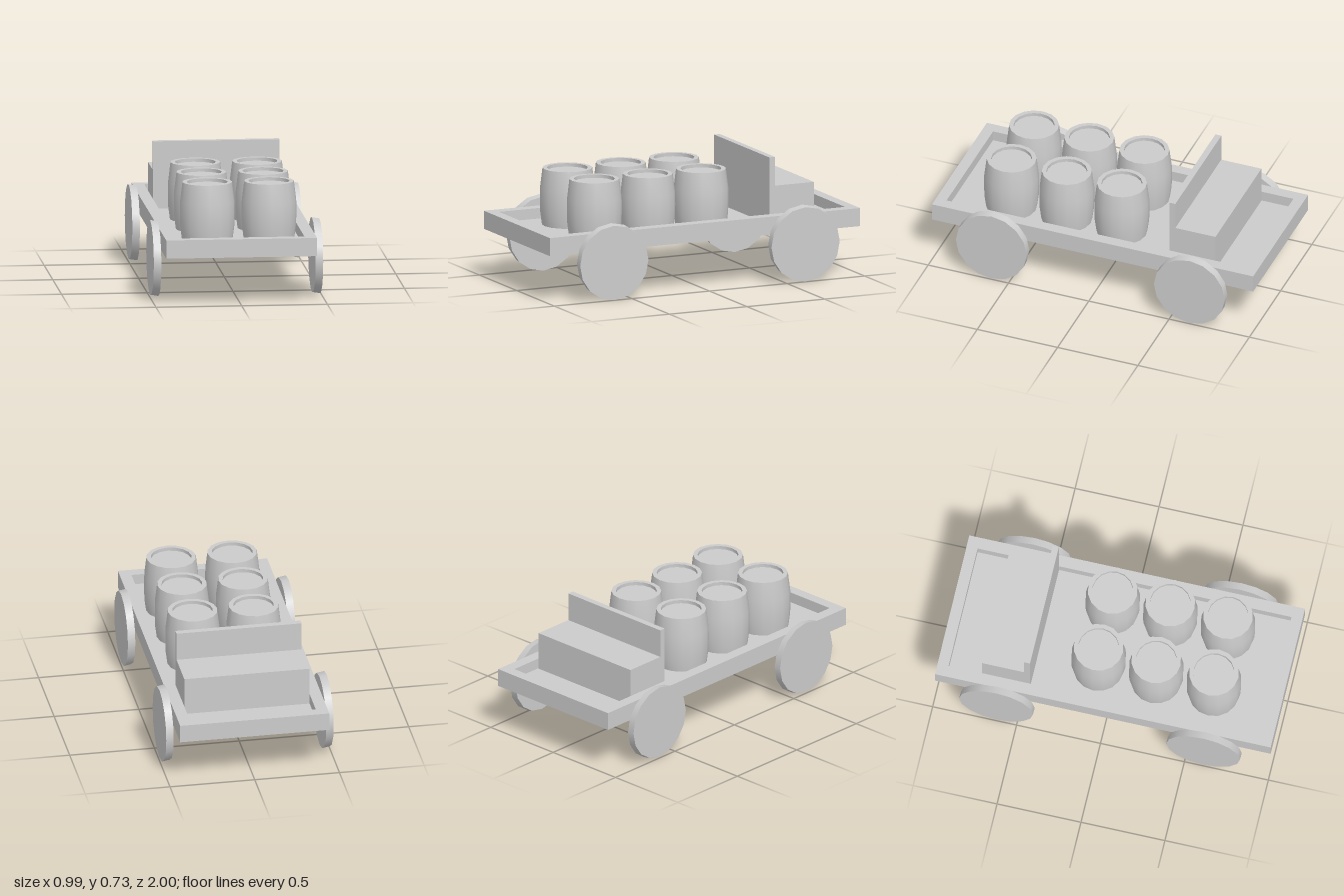
import * as THREE from 'three';
import { toCreasedNormals } from 'three/addons/utils/BufferGeometryUtils.js';

export function createModel() {
  const model = new THREE.Group();
  const material = new THREE.MeshStandardMaterial({ color: 0xcccccc });

  function add(name, geometry, x = 0, y = 0, z = 0, parent = model) {
    const mesh = new THREE.Mesh(geometry, material);
    mesh.name = name;
    mesh.position.set(x, y, z);
    parent.add(mesh);
    return mesh;
  }

  // Box given by its lower and upper limits on each axis
  function addBox(name, [x0, x1], [y0, y1], [z0, z1], parent) {
    const geometry = new THREE.BoxGeometry(x1 - x0, y1 - y0, z1 - z0);
    return add(name, geometry, (x0 + x1) / 2, (y0 + y1) / 2, (z0 + z1) / 2, parent);
  }

  function rectangle(PathType, hx, hz) {
    return new PathType().moveTo(-hx, -hz).lineTo(hx, -hz).lineTo(hx, hz).lineTo(-hx, hz).closePath();
  }

  // Cargo bed: a raised rim around a sunken floor
  const bed = new THREE.Group();
  bed.name = 'bed';
  model.add(bed);
  const bottom = 0.285, rimTop = 0.392, floor = 0.33;
  const rimShape = rectangle(THREE.Shape, 0.44, 1);
  rimShape.holes.push(rectangle(THREE.Path, 0.372, 0.935));
  const rim = new THREE.ExtrudeGeometry(rimShape, { depth: rimTop - bottom, bevelEnabled: false });
  rim.rotateX(-Math.PI / 2);
  add('bedRim', rim, 0, bottom, 0, bed);
  addBox('bedFloor', [-0.372, 0.372], [bottom, floor], [-0.935, 0.935], bed);

  // Bench with a tall backrest, facing the rear end
  const bench = new THREE.Group();
  bench.name = 'bench';
  model.add(bench);
  addBox('seat', [-0.37, 0.367], [floor, 0.557], [-0.737, -0.487], bench);
  addBox('backrest', [-0.37, 0.367], [floor, 0.727], [-0.487, -0.45], bench);

  // Barrels: bulging sides and a recessed lid
  const profile = [
    [0, 0], [0.148, 0], [0.158, 0.075], [0.16, 0.15], [0.159, 0.22],
    [0.145, 0.335], [0.119, 0.335], [0.119, 0.315], [0, 0.315],
  ].map(([r, y]) => new THREE.Vector2(r, y));
  const barrel = toCreasedNormals(new THREE.LatheGeometry(profile, 16), 0.6);
  for (const x of [-0.16, 0.2]) {
    for (const z of [-0.09, 0.253, 0.597]) add('barrel', barrel, x, floor, z);
  }

  // Wheels: thin discs, slightly sheared so that each face sits lower towards +x
  const wheel = new THREE.CylinderGeometry(0.22, 0.22, 0.044, 16);
  wheel.rotateZ(Math.PI / 2);
  wheel.applyMatrix4(new THREE.Matrix4().set(
    1, 0, 0, 0,
    -0.17, 1, 0, 0,
    0, 0, 1, 0,
    0, 0, 0, 1,
  ));
  for (const x of [-0.473, 0.471]) {
    add('frontWheel', wheel, x, 0.224, 0.61);
    add('rearWheel', wheel, x, 0.224, -0.623);
  }

  return model;
}
